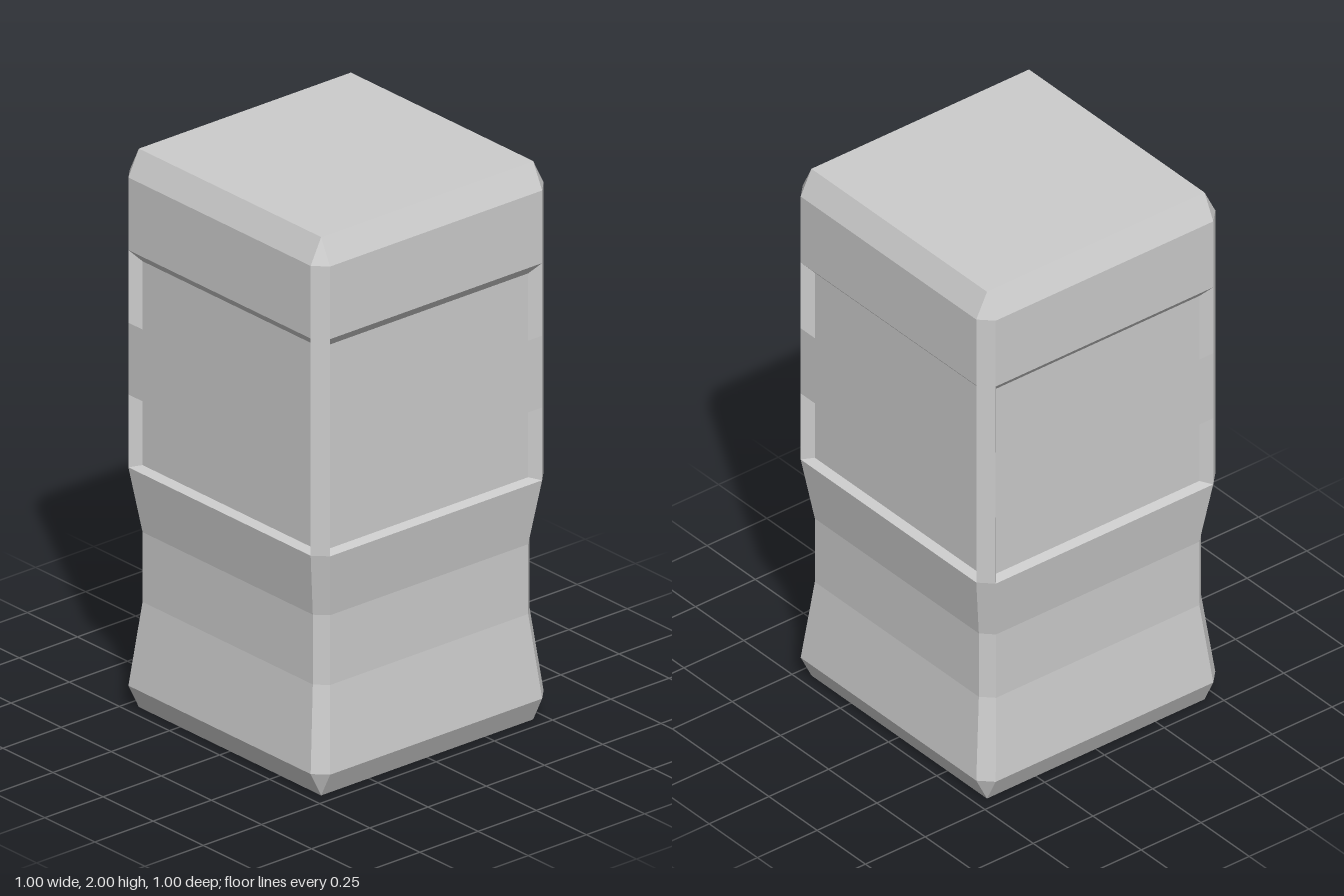
import * as THREE from 'three';

// Levels as [height, face distance from the axis, half width of the face]
const lower = [[0, 0.455, 0.455], [0.09, 0.5, 0.455], [0.39, 0.465, 0.425], [0.64, 0.465, 0.425], [0.872, 0.5, 0.455]];
const upper = [[1.91, 0.5, 0.455], [2, 0.455, 0.455]];
// Recesses, bottom to top: outer edge, inner edge, inner edge, outer edge
const recesses = [
  [[0.872, 0.5, 0.455], [0.88, 0.465, 0.425], [1.125, 0.465, 0.425], [1.133, 0.5, 0.455]],
  [[1.39, 0.5, 0.455], [1.35, 0.465, 0.425], [1.61, 0.465, 0.425], [1.65, 0.5, 0.455]],
];

// Builds a flat-faced geometry from quads given as bottom left, bottom right, top right, top left
function quadGeometry(quads) {
  const positions = [];
  const triangle = new THREE.Triangle();
  for (const [a, b, c, d] of quads) {
    for (const corners of [[a, b, c], [a, c, d]]) {
      triangle.set(...corners.map((p) => new THREE.Vector3(...p)));
      if (triangle.getArea() > 1e-8) positions.push(...corners.flat());
    }
  }
  const geometry = new THREE.BufferGeometry();
  geometry.setAttribute('position', new THREE.Float32BufferAttribute(positions, 3));
  geometry.computeVertexNormals();
  return geometry;
}

// Joins successive levels into quads, with functions for the left and right end of a level
function strip(levels, left, right) {
  return levels.slice(1).map((b, i) => {
    const a = levels[i];
    return [left(a), right(a), right(b), left(b)];
  });
}

export function createModel() {
  const group = new THREE.Group();
  group.name = 'pillar';
  const material = new THREE.MeshStandardMaterial({ color: 0xcccccc, flatShading: true });

  const faceLeft = ([y, d, w]) => [-w, y, d];
  const faceRight = ([y, d, w]) => [w, y, d];
  const cornerRight = ([y, d, w]) => [d, y, w];

  // One side: waisted base, two recessed panels and the bevelled head
  const faceQuads = strip([...lower, ...recesses[0].slice(1), ...recesses[1], ...upper], faceLeft, faceRight);
  // End walls of the recesses
  for (const [a, b, c, d] of recesses) {
    faceQuads.push([faceRight(b), faceRight(a), faceRight(d), faceRight(c)]);
    faceQuads.push([faceLeft(a), faceLeft(b), faceLeft(c), faceLeft(d)]);
  }
  const faceGeometry = quadGeometry(faceQuads);

  // Chamfered corner between two sides
  const cornerGeometry = quadGeometry(strip([...lower, ...upper], faceRight, cornerRight));

  ['front', 'left', 'back', 'right'].forEach((name, i) => {
    const side = new THREE.Group();
    side.name = name + 'Side';
    side.rotation.y = i * Math.PI / 2;
    const face = new THREE.Mesh(faceGeometry, material);
    face.name = name + 'Face';
    const corner = new THREE.Mesh(cornerGeometry, material);
    corner.name = name + 'Corner';
    side.add(face, corner);
    group.add(side);
  });

  // Flat top and bottom
  const capGeometry = new THREE.PlaneGeometry(0.91, 0.91);
  for (const [name, y, turn] of [['top', 2, -1], ['bottom', 0, 1]]) {
    const cap = new THREE.Mesh(capGeometry, material);
    cap.name = name;
    cap.position.y = y;
    cap.rotation.x = turn * Math.PI / 2;
    group.add(cap);
  }
  return group;
}
